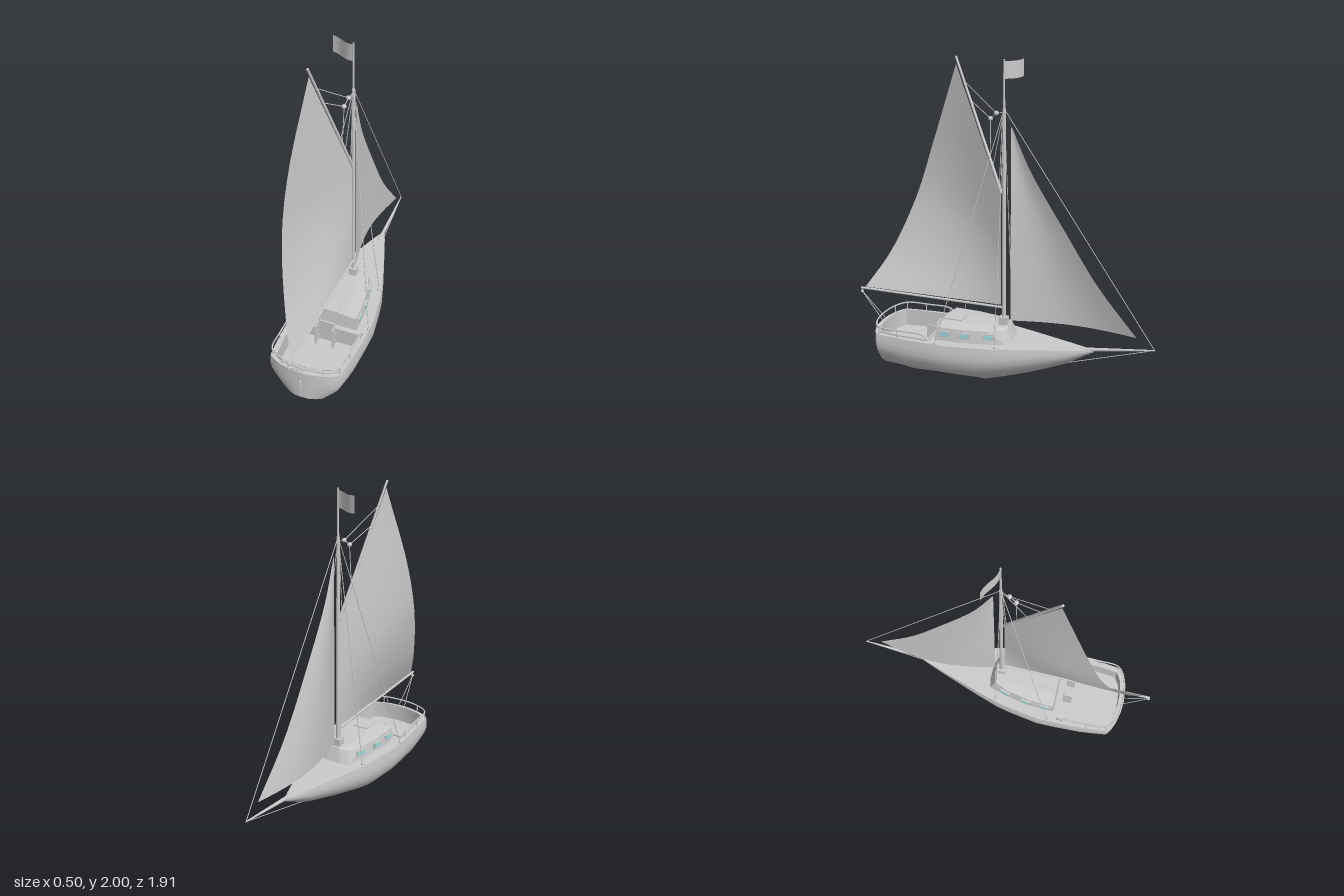
import * as THREE from 'three';
import { toCreasedNormals } from 'three/addons/utils/BufferGeometryUtils.js';
import { ConvexGeometry } from 'three/addons/geometries/ConvexGeometry.js';

const V = (x, y, z) => new THREE.Vector3(x, y, z);
const grey = new THREE.MeshStandardMaterial({ color: 0xcccccc });
const greyThin = new THREE.MeshStandardMaterial({ color: 0xcccccc, side: THREE.DoubleSide });
const glass = new THREE.MeshStandardMaterial({ color: 0x9fd8d8 });

// Skin a list of equally long rows of points.
function skin(rows) {
  const n = rows[0].length, index = [];
  for (let i = 0; i < rows.length - 1; i++)
    for (let j = 0; j < n - 1; j++) {
      const a = i * n + j, b = a + n;
      index.push(a, a + 1, b, a + 1, b + 1, b);
    }
  const geo = new THREE.BufferGeometry().setFromPoints(rows.flat());
  geo.setIndex(index);
  geo.computeVertexNormals();
  return geo;
}

export function createModel() {
  const model = new THREE.Group();
  model.name = 'sailboat';
  const add = (name, geo, mat = grey, parent = model) => {
    const mesh = new THREE.Mesh(geo, mat);
    mesh.name = name;
    parent.add(mesh);
    return mesh;
  };
  const group = (name) => {
    const g = new THREE.Group();
    g.name = name;
    model.add(g);
    return g;
  };
  // Round bar between two points, thinner at b if wanted.
  const bar = (name, a, b, r, parent = model, r2 = r, sides = 8) => {
    const mesh = add(name, new THREE.CylinderGeometry(r2, r, a.distanceTo(b), sides), grey, parent);
    mesh.position.copy(a).lerp(b, 0.5);
    mesh.quaternion.setFromUnitVectors(V(0, 1, 0), b.clone().sub(a).normalize());
    return mesh;
  };
  const box = (name, w, h, d, x, y, z, mat = grey, parent = model) => {
    const mesh = add(name, new THREE.BoxGeometry(w, h, d), mat, parent);
    mesh.position.set(x, y, z);
    return mesh;
  };
  const ball = (name, r, p, parent) => add(name, new THREE.SphereGeometry(r, 10, 8), grey, parent).position.copy(p);

  // Hull stations: z, half width, keel height, fullness of the bottom
  const deckY = 0.3;
  const stations = [
    [0.808, 0.003, 0.1, 1], [0.803, 0.07, 0.095, 1], [0.787, 0.14, 0.092, 1], [0.765, 0.19, 0.085, 1],
    [0.74, 0.225, 0.073, 0.85], [0.65, 0.236, 0.037, 0.45], [0.56, 0.243, 0.003, 0.15], [0.4, 0.249, 0, 0],
    [0.28, 0.25, 0, 0], [0.1, 0.222, 0, 0], [0, 0.203, 0.03, 0], [-0.16, 0.155, 0.083, 0],
    [-0.3, 0.108, 0.138, 0], [-0.42, 0.068, 0.19, 0], [-0.52, 0.033, 0.25, 0], [-0.59, 0.006, 0.29, 0],
  ];
  const heights = [1, 0.85, 0.7, 0.55, 0.42, 0.3, 0.14, 0];
  const slim = [0.98, 1, 1, 0.94, 0.84, 0.68, 0.34, 0];
  const full = [0.98, 1, 1, 0.97, 0.91, 0.83, 0.72, 0.6];
  const hullRows = stations.map(([z, w, keel, b]) => {
    const half = heights.map((f, i) =>
      V(w * THREE.MathUtils.lerp(slim[i], full[i], b), keel + (deckY - keel) * f, z));
    const mirror = half.map((p) => V(-p.x, p.y, p.z)).reverse();
    return [...half, V(0, keel, z), ...mirror];
  });
  add('hull', toCreasedNormals(skin(hullRows), 0.6), greyThin);

  // Deck with an open cockpit
  const mirrored = (half) => [...half, ...half.slice().reverse().map(([x, z]) => [-x, z])];
  const toShape = (pts) => new THREE.Shape(pts.map(([x, z]) => new THREE.Vector2(x, -z)));
  const slab = (shape, depth, y) => {
    const geo = new THREE.ExtrudeGeometry(shape, { depth, bevelEnabled: false });
    return geo.rotateX(-Math.PI / 2).translate(0, y, 0);
  };
  const deckPlan = mirrored(stations.map(([z, w]) => [w * 0.98, z]));
  const cockpit = mirrored([[0.03, 0.772], [0.13, 0.757], [0.185, 0.725], [0.198, 0.6], [0.203, 0.41]]);
  const deck = toShape(deckPlan);
  deck.holes.push(toShape(cockpit));
  add('deck', slab(deck, 0.006, deckY - 0.004));
  const ring = [...cockpit, cockpit[0]];
  add('cockpitWalls', toCreasedNormals(skin([0.3, 0.2].map((y) => ring.map(([x, z]) => V(x, y, z)))), 0.6), greyThin);
  add('cockpitFloor', slab(toShape(cockpit), 0.004, 0.198));
  const coaming = toShape(cockpit.map(([x, z]) => [x * 1.05, 0.59 + (z - 0.59) * 1.05]));
  coaming.holes.push(toShape(cockpit));
  add('coaming', slab(coaming, 0.012, deckY));

  // Cabin with a sloping front
  const cabinPoints = [];
  for (const s of [-1, 1]) {
    for (const [x, z] of [[0.175, 0.37], [0.168, 0.2], [0.14, 0.05], [0.105, -0.07], [0.05, -0.085]])
      cabinPoints.push(V(s * x, 0.3, z));
    for (const [x, z] of [[0.165, 0.36], [0.157, 0.2], [0.128, 0.05], [0.09, -0.04], [0.045, -0.055]])
      cabinPoints.push(V(s * x, 0.383, z), V(s * x * 0.5, 0.392, z));
  }
  add('cabin', new ConvexGeometry(cabinPoints));
  // Cabin windows, set along the slanting sides
  const windows = group('windows');
  for (const s of [-1, 1])
    for (const [x, z, turn] of [[0.168, 0.305, 0.06], [0.161, 0.18, 0.13], [0.131, 0.035, 0.28]]) {
      const frame = box('windowFrame', 0.012, 0.04, 0.068, s * x, 0.346, z, grey, windows);
      const pane = box('windowPane', 0.018, 0.028, 0.054, s * x, 0.346, z, glass, windows);
      frame.rotation.y = pane.rotation.y = s * turn;
    }
  // Companionway with open doors
  box('companionway', 0.1, 0.15, 0.012, 0, 0.275, 0.412);
  for (const s of [-1, 1]) box('companionwayDoor', 0.008, 0.14, 0.06, s * 0.055, 0.27, 0.44);
  box('slidingHatch', 0.1, 0.012, 0.12, 0, 0.392, 0.3);

  // Stern rail
  const rail = group('sternRail');
  const railEnd = [[0.222, 0.4, 0.31], [0.224, 0.42, 0.342], [0.225, 0.6, 0.35], [0.212, 0.73, 0.35], [0.13, 0.78, 0.35]];
  const railHalf = railEnd.map(([x, z, y]) => V(x, y, z));
  const railPath = [...railHalf, V(0, 0.35, 0.797), ...railHalf.map((p) => V(-p.x, p.y, p.z)).reverse()];
  add('topRail', new THREE.TubeGeometry(new THREE.CatmullRomCurve3(railPath), 60, 0.005, 6), grey, rail);
  for (const s of [-1, 1])
    for (const [x, z] of [[0.224, 0.43], [0.225, 0.6], [0.212, 0.73], [0.13, 0.78]])
      bar('railPost', V(s * x, 0.3, z), V(s * x, 0.35, z), 0.004, rail);

  // Mast, boom, gaff and bowsprit
  const top = V(0, 1.72, -0.02), sprit = V(0, 0.357, -0.95);
  const throat = V(0, 1.22, -0.005), peak = V(-0.118, 1.99, 0.32), boomEnd = V(0, 0.505, 0.95);
  box('mastStep', 0.05, 0.06, 0.05, 0, 0.41, -0.02);
  bar('mast', V(0, 0.3, -0.02), top, 0.013, model, 0.01, 12);
  bar('topmast', top, V(0, 2, -0.02), 0.007, model, 0.005);
  bar('boom', V(0, 0.5, -0.01), boomEnd, 0.008);
  bar('gaff', throat, peak, 0.01, model, 0.007);
  bar('bowsprit', V(0, 0.295, -0.5), sprit, 0.014, model, 0.004);

  // Sails: each row runs from the mast edge to the free edge
  const sail = (name, inner, outer, belly) => {
    const rows = [];
    for (let i = 0; i <= 14; i++) {
      const v = i / 14, a = inner(v), b = outer.getPoint(v), row = [];
      for (let j = 0; j <= 12; j++) {
        const p = a.clone().lerp(b, j / 12);
        p.x -= belly(v) * Math.sin((Math.PI * j) / 12);
        row.push(p);
      }
      rows.push(row);
    }
    add(name, skin(rows), greyThin);
  };
  const leech = new THREE.CatmullRomCurve3([V(0, 0.515, 0.92), V(-0.09, 0.74, 0.777), V(-0.165, 1.1, 0.62),
    V(-0.167, 1.45, 0.5), V(-0.113, 1.945, 0.318)]);
  sail('mainsail', (v) => V(0, 0.515 + 0.69 * v, 0), leech, (v) => 0.025 * Math.sin(Math.PI * v));
  const jibEdge = new THREE.CatmullRomCurve3([V(0, 0.42, -0.84), V(-0.012, 0.7, -0.6), V(-0.015, 1.02, -0.39),
    V(-0.01, 1.37, -0.175), V(0, 1.62, -0.066)]);
  sail('jib', (v) => V(0, 0.42 + 1.19 * v, -0.062), jibEdge, (v) => 0.055 * (1 - v));

  // Flag, gently waved
  const flagRows = [1.89, 1.99].map((y) => Array.from({ length: 13 }, (_, i) => {
    const t = i / 12;
    return V(-0.148 * t, y - 0.012 * Math.sin(t * 3.1) * 0.5, -0.022 - 0.066 * t + 0.006 * Math.sin(t * 6.28));
  }));
  add('flag', skin(flagRows), greyThin);

  // Standing rigging
  const rigging = group('rigging');
  const rope = (name, a, b) => bar(name, a, b, 0.0025, rigging, 0.0025, 6);
  for (const s of [-1, 1])
    for (const foot of [V(s * 0.24, 0.31, 0.34), V(s * 0.175, 0.31, -0.02)]) {
      rope('shroud', top, foot);
      ball('shroudFitting', 0.009, foot, rigging);
    }
  rope('forestay', top, sprit);
  rope('bobstay', sprit, V(0, 0.188, -0.4));

  // Running rigging with blocks
  const blockA = V(-0.01, 1.69, 0.03), blockB = V(-0.02, 1.655, 0.07);
  const onGaff = (t) => throat.clone().lerp(peak, t);
  rope('halyard', V(0, 1.7, -0.02), blockA);
  rope('halyard', blockA, onGaff(0.82));
  rope('halyard', blockB, onGaff(0.68));
  rope('halyard', blockA, blockB);
  rope('halyard', blockB, onGaff(0.25));
  for (const p of [blockA, blockB]) ball('block', 0.014, p, rigging);
  rope('throatHalyard', V(0, 1.69, -0.01), onGaff(0.05));
  const sheetBlock = V(0, 0.48, 0.945);
  rope('sheetStrap', boomEnd, sheetBlock);
  ball('block', 0.01, sheetBlock, rigging);
  for (const s of [-1, 1]) rope('mainsheet', sheetBlock, V(s * 0.02, 0.31, 0.8));

  return model;
}
